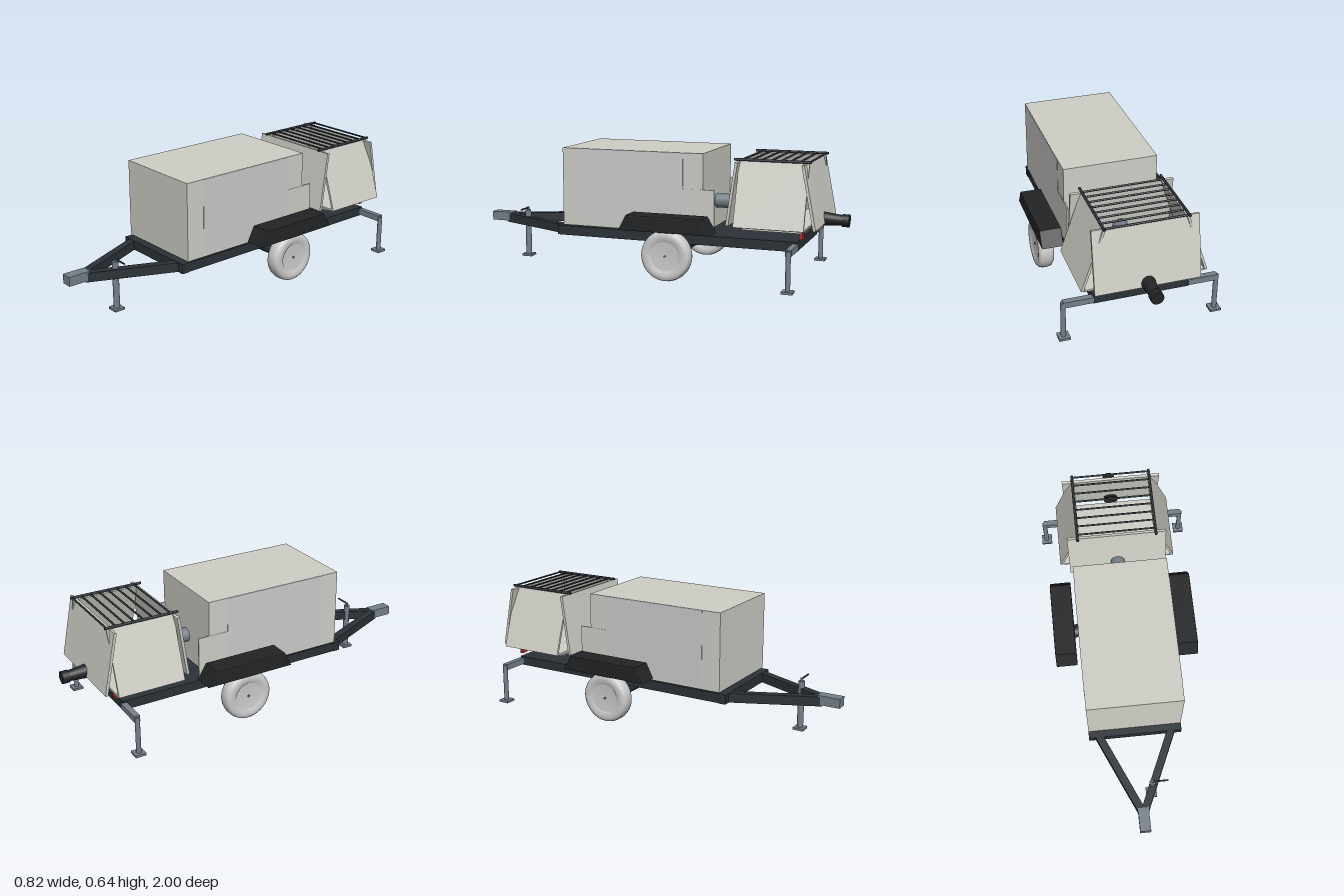
import * as THREE from 'three';

const mat = (color) => new THREE.MeshStandardMaterial({ color });
const BODY = mat(0xcfcfc7), DOOR = mat(0xbebec0), FRAME = mat(0x2c3238), BLACK = mat(0x222426);
const STEEL = mat(0x75808a), TYRE = mat(0xcccccc), RED = mat(0xb03028);

export function createModel() {
  const root = new THREE.Group();

  const add = (name, geometry, material, x = 0, y = 0, z = 0) => {
    const mesh = new THREE.Mesh(geometry, material);
    mesh.name = name;
    mesh.position.set(x, y, z);
    root.add(mesh);
    return mesh;
  };
  // Box given by its limits on each axis
  const box = (name, material, [x0, x1], [y0, y1], [z0, z1]) =>
    add(name, new THREE.BoxGeometry(x1 - x0, y1 - y0, z1 - z0), material,
      (x0 + x1) / 2, (y0 + y1) / 2, (z0 + z1) / 2);
  // Round bar (or cone) from point a to point b
  const rod = (name, material, a, b, ra, rb = ra, sides = 20) => {
    const from = new THREE.Vector3(...a), to = new THREE.Vector3(...b);
    const dir = to.clone().sub(from);
    const mesh = add(name, new THREE.CylinderGeometry(rb, ra, dir.length(), sides), material);
    mesh.position.copy(from).add(to).multiplyScalar(0.5);
    mesh.quaternion.setFromUnitVectors(new THREE.Vector3(0, 1, 0), dir.normalize());
    return mesh;
  };

  // Chassis deck and front cross member
  box('deck', FRAME, [-0.24, 0.24], [0.18, 0.228], [-0.79, 0.45]);
  box('frontCrossMember', FRAME, [-0.243, 0.243], [0.18, 0.23], [0.45, 0.49]);
  box('deckUnderside', BLACK, [-0.235, 0.235], [0.178, 0.182], [-0.785, 0.45]);

  // Drawbar and coupler
  for (const s of [-1, 1]) {
    const length = Math.hypot(0.19, 0.43);
    const bar = add('drawbar', new THREE.BoxGeometry(0.04, 0.048, length), FRAME, s * 0.1, 0.205, 0.685);
    bar.rotation.y = -s * Math.atan2(0.19, 0.43);
  }
  box('coupler', STEEL, [-0.028, 0.028], [0.188, 0.236], [0.88, 1]);

  // Front jack
  rod('jackTube', STEEL, [0.06, 0.015, 0.76], [0.06, 0.264, 0.76], 0.016);
  rod('jackSpindle', STEEL, [0.06, 0.264, 0.76], [0.06, 0.28, 0.76], 0.006);
  rod('jackHandle', FRAME, [0.06, 0.276, 0.76], [0.14, 0.276, 0.76], 0.0045);
  box('jackFoot', STEEL, [0.031, 0.088], [0.008, 0.02], [0.732, 0.788]);

  // Engine housing
  box('housing', BODY, [-0.242, 0.242], [0.235, 0.64], [-0.31, 0.455]);

  // Axle
  rod('axle', FRAME, [-0.3, 0.136, -0.15], [0.3, 0.136, -0.15], 0.036, 0.036, 32);

  // Wheel profile: radius, offset across the width
  const wheelProfile = [
    [0.001, -0.03], [0.072, -0.03], [0.077, -0.036], [0.1, -0.04], [0.116, -0.038], [0.125, -0.03],
    [0.129, -0.015], [0.13, 0], [0.129, 0.015], [0.125, 0.03], [0.116, 0.038], [0.1, 0.04],
    [0.077, 0.036], [0.072, 0.03], [0.001, 0.03],
  ].map(([r, h]) => new THREE.Vector2(r, h));
  const wheelGeometry = new THREE.LatheGeometry(wheelProfile, 40).rotateZ(-Math.PI / 2);

  // Fender side outline, drawn in z and y
  const fenderShape = new THREE.Shape([
    [0.09, 0.255], [0.05, 0.333], [-0.345, 0.333], [-0.392, 0.255],
  ].map(([z, y]) => new THREE.Vector2(-z, y)));
  const fenderGeometry = new THREE.ExtrudeGeometry(fenderShape, {
    depth: 0.104, bevelSize: 0.004, bevelOffset: -0.004, bevelThickness: 0.004, bevelSegments: 2,
  }).translate(0, 0, -0.052).rotateY(Math.PI / 2);

  for (const s of [-1, 1]) {
    // Doors and lower side panels of the housing
    const span = (a, b) => (s > 0 ? [a, b] : [-b, -a]);
    box('door', DOOR, span(0.24, 0.2435), [0.25, 0.638], [-0.205, 0.355]);
    box('lowerSidePanel', BODY, span(0.236, 0.2435), [0.235, 0.46], [-0.37, -0.205]);

    // Wheels and fenders
    add('wheel', wheelGeometry, TYRE, s * 0.324, 0.132, -0.15);
    rod('hubCap', STEEL, [s * 0.35, 0.132, -0.15], [s * 0.36, 0.132, -0.15], 0.006);
    add('fender', fenderGeometry, BLACK, s * 0.323, 0, 0);

    // Rear stabiliser legs
    box('stabiliserArm', STEEL, span(0.235, 0.385), [0.188, 0.219], [-0.797, -0.767]);
    rod('stabiliserLeg', STEEL, [s * 0.384, 0.018, -0.782], [s * 0.384, 0.212, -0.782], 0.0125);
    box('stabiliserFoot', STEEL, span(0.355, 0.411), [0.008, 0.02], [-0.81, -0.754]);

    // Tail lights
    box('tailLight', RED, span(0.175, 0.215), [0.236, 0.268], [-0.812, -0.795]);

    // Sloping hopper sides
    const side = add('hopperSide', new THREE.BoxGeometry(0.012, Math.hypot(0.105, 0.315), 0.35), BODY,
      s * 0.253, 0.45, -0.66);
    side.rotation.z = s * Math.atan2(0.105, 0.315);

    // Grille rails
    rod('grilleRail', FRAME, [s * 0.205, 0.615, -0.845], [s * 0.205, 0.615, -0.46], 0.007, 0.007, 10);
  }

  // Sloping hopper ends, wider than the sides at the top
  for (const [name, zBottom, zTop] of [['hopperFront', -0.44, -0.485], ['hopperBack', -0.877, -0.815]]) {
    const end = add(name, new THREE.BoxGeometry(0.52, Math.hypot(zTop - zBottom, 0.315), 0.014), BODY,
      0, 0.448, (zBottom + zTop) / 2);
    end.rotation.x = Math.atan2(zTop - zBottom, 0.315);
  }
  box('hopperFloor', BODY, [-0.295, 0.295], [0.29, 0.3], [-0.835, -0.485]);
  box('hopperBase', BODY, [-0.235, 0.235], [0.27, 0.29], [-0.81, -0.51]);

  // Grille cross bars
  for (let i = 0; i < 8; i++) {
    const z = -0.835 + i * 0.048;
    rod('grilleBar', FRAME, [-0.205, 0.615, z], [0.205, 0.615, z], 0.005, 0.005, 8);
  }

  // Feed pipe from the housing into the hopper
  rod('feedPipe', STEEL, [0, 0.37, -0.3], [0, 0.37, -0.58], 0.037, 0.037, 32);

  // Rear outlet: tapered nozzle and end collar
  rod('outletNozzle', BLACK, [0, 0.31, -0.845], [0, 0.306, -0.97], 0.038, 0.026, 32);
  rod('outletCollar', BLACK, [0, 0.306, -0.965], [0, 0.305, -1], 0.032, 0.032, 32);

  return root;
}
